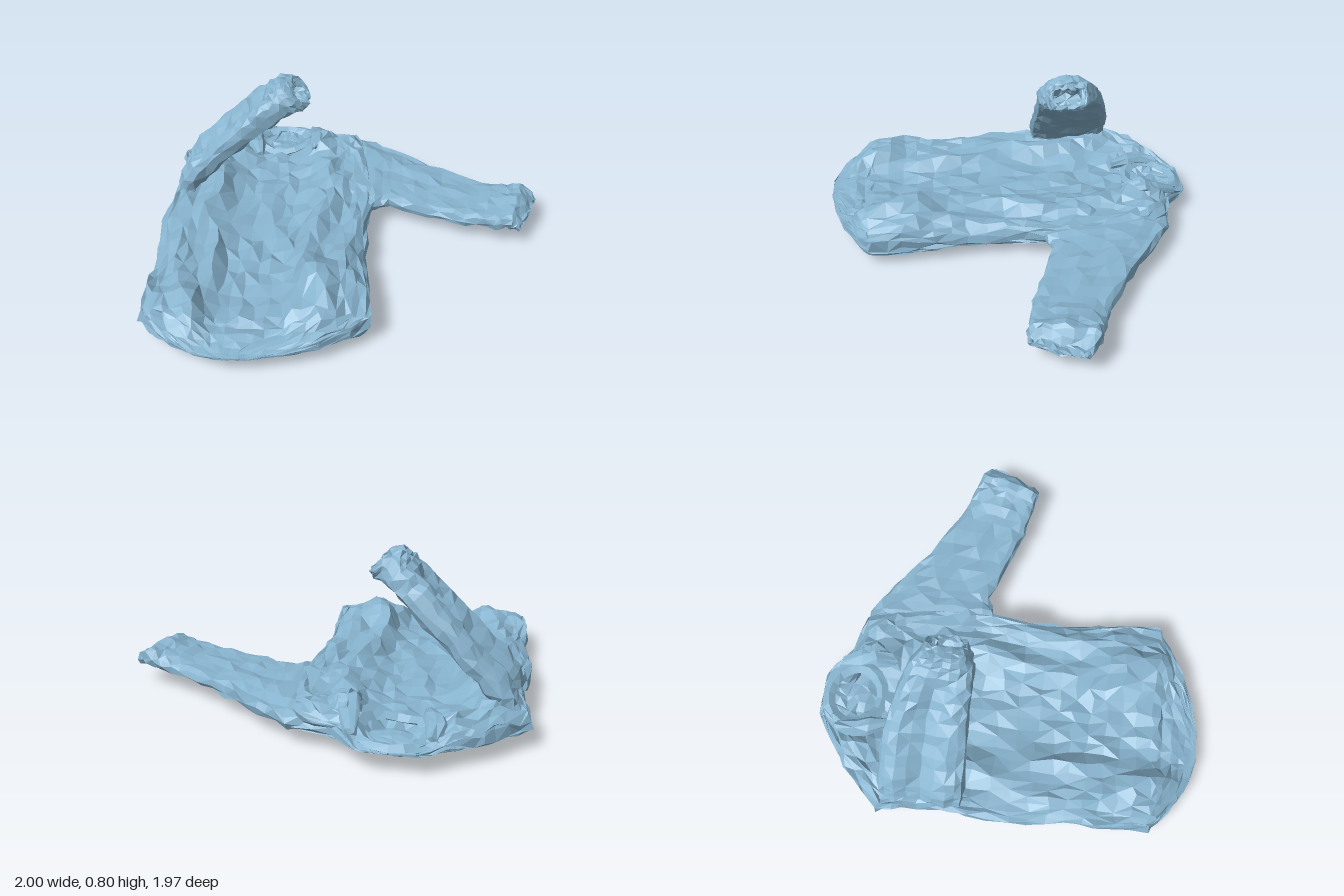
import * as THREE from 'three';

const cloth = new THREE.MeshStandardMaterial({ color: 0x88b4cf, flatShading: true, side: THREE.DoubleSide });

// seeded random numbers for the creases
function seeded(seed) {
  let s = seed;
  return () => {
    s = (s * 16807) % 2147483647;
    return s / 2147483647 - 0.5;
  };
}
const bell = (v, centre, width) => Math.exp(-(((v - centre) / width) ** 2));
const step = THREE.MathUtils.smoothstep;

// insert evenly spaced rows between the given ones
function refine(rows, steps) {
  const out = [];
  for (let r = 0; r < rows.length - 1; r++)
    for (let k = 0; k < steps; k++)
      out.push(rows[r].map((v, i) => v + (rows[r + 1][i] - v) * (k / steps)));
  out.push(rows[rows.length - 1]);
  return out;
}

// skin closed rings of points, closing both ends on their centres
function loft(name, rings) {
  const n = rings[0].length;
  const centre = (ring) => {
    const c = new THREE.Vector3();
    ring.forEach((p) => c.addScaledVector(p, 1 / n));
    return ring.map(() => c);
  };
  const all = [centre(rings[0]), ...rings, centre(rings[rings.length - 1])];
  const index = [];
  for (let r = 0; r < all.length - 1; r++)
    for (let i = 0; i < n; i++) {
      const a = r * n + i, b = r * n + ((i + 1) % n);
      if ((i + r) % 2) index.push(a, a + n, b, b, a + n, b + n);
      else index.push(a, a + n, b + n, a, b + n, b);
    }
  const geometry = new THREE.BufferGeometry().setFromPoints(all.flat());
  geometry.setIndex(index);
  geometry.computeVertexNormals();
  const mesh = new THREE.Mesh(geometry, cloth);
  mesh.name = name;
  return mesh;
}

// height of the upper cloth: two puffed sides, flat centre strip, neck opening
function clothHeight(x, z) {
  if (Math.hypot((x + 0.42) / 0.14, (z + 0.81) / 0.13) < 1) return 0.085;
  const right = 1 - step(x, -0.7, -0.58);
  const left = step(x, -0.3, -0.2);
  let h = 0.12 + 0.06 * right + 0.06 * left;
  h += 0.085 * bell(x, -0.09, 0.15) * bell(z, 0.56, 0.19);
  h += 0.045 * bell(x, -0.82, 0.12) * bell(z, 0.7, 0.12);
  h += 0.05 * bell(x, -0.16, 0.1) * bell(z, -0.72, 0.1);
  h += 0.05 * bell(x, -0.88, 0.12) * bell(z, -0.45, 0.22);
  // lengthwise folds on the puffed sides
  return h + 0.02 * (right + left) * Math.sin(x * 30 + Math.sin(z * 6) * 2);
}

function torso() {
  // z, right x, left x, lowest y, fullness
  const rows = [
    [-0.985, -0.52, -0.33, 0.09, 0.1],
    [-0.95, -0.59, -0.26, 0.08, 0.5],
    [-0.86, -0.72, -0.17, 0.07, 0.8],
    [-0.8, -0.81, 0.02, 0.06, 1],
    [-0.7, -0.9, 0.07, 0.05, 1],
    [-0.6, -0.99, 0.1, 0.05, 1],
    [-0.47, -0.96, 0.11, 0.045, 1],
    [-0.33, -0.96, 0.11, 0.04, 1],
    [-0.15, -0.96, 0.11, 0.035, 1],
    [0.05, -0.985, 0.09, 0.025, 1],
    [0.25, -0.96, 0.085, 0.015, 1],
    [0.42, -0.955, 0.1, 0.006, 1],
    [0.58, -0.955, 0.12, 0.0, 1],
    [0.75, -0.945, 0.115, 0.012, 1],
    [0.81, -0.89, 0.04, 0.03, 0.85],
    [0.89, -0.79, -0.1, 0.05, 0.45],
    [0.95, -0.68, -0.27, 0.065, 0.1],
    [0.98, -0.56, -0.42, 0.08, 0.03],
  ];
  const rand = seeded(71);
  const n = 56;
  const edge = 0.095;
  const rings = refine(rows, 2).map(([z, x0, x1, low, full]) => {
    const ring = [];
    for (let i = 0; i < n; i++) {
      const t = (i / n) * Math.PI * 2;
      const u = -Math.cos(t), s = Math.sin(t);
      const x = (x0 + x1) / 2 + (u * (x1 - x0)) / 2 + rand() * 0.028;
      const pz = z + rand() * 0.03 * full;
      const bulge = Math.abs(s) ** (s >= 0 ? 0.4 : 0.55);
      const y = s >= 0
        ? edge + (clothHeight(x, pz) - edge) * bulge * full + rand() * 0.03 * full
        : edge + (low - edge) * bulge + Math.abs(rand()) * 0.03;
      ring.push(new THREE.Vector3(x, y, pz));
    }
    return ring;
  });
  return loft('shirtBody', rings);
}

// each section: front edge, back edge, half thickness, depth of the fold along the top
function sleeve(name, sections, up, seed) {
  const rand = seeded(seed);
  const n = 20;
  const rings = refine(sections, 3).map(([ax, ay, az, bx, by, bz, thick, fold]) => {
    const a = new THREE.Vector3(ax, ay, az), b = new THREE.Vector3(bx, by, bz);
    const ring = [];
    for (let i = 0; i < n; i++) {
      const t = (i / n) * Math.PI * 2;
      const s = Math.sin(t);
      const across = (1 - Math.cos(t)) / 2;
      const p = a.clone().lerp(b, across);
      const rise = Math.sign(s) * Math.abs(s) ** 0.6 * thick;
      p.addScaledVector(up, rise - (s > 0 ? fold * bell(across, 0.5, 0.18) : 0) + rand() * 0.022);
      p.x += rand() * 0.018;
      p.z += rand() * 0.012;
      ring.push(p);
    }
    return ring;
  });
  return loft(name, rings);
}

// flattened collar band round the neck, with its folded points
function collar() {
  const rand = seeded(19);
  const group = new THREE.Group();
  group.name = 'collar';

  const n = 16;
  const geometry = new THREE.TorusGeometry(0.155, 0.034, 4, n);
  geometry.rotateX(Math.PI / 2);
  const pos = geometry.attributes.position;
  const lift = Array.from({ length: n }, () => rand() * 0.02);
  for (let i = 0; i < pos.count; i++) {
    const x = pos.getX(i), y = pos.getY(i), z = pos.getZ(i);
    const leftRise = 0.04 * step(x, 0.04, 0.18);
    pos.setXYZ(i, x - 0.42, 0.112 + z * 0.08 + y * 0.6 + leftRise + lift[(i % (n + 1)) % n], z * 0.92 - 0.81);
  }
  geometry.computeVertexNormals();
  const band = new THREE.Mesh(geometry, cloth);
  band.name = 'collarBand';
  group.add(band);

  // sections: x, y, z, half width
  const points = {
    rightCollarPoint: [[-0.59, 0.115, -0.88, 0.03], [-0.6, 0.14, -0.78, 0.05], [-0.58, 0.15, -0.7, 0.05], [-0.55, 0.135, -0.61, 0.02]],
    leftCollarPoint: [[-0.25, 0.13, -0.91, 0.03], [-0.22, 0.18, -0.8, 0.05], [-0.2, 0.215, -0.72, 0.06], [-0.23, 0.17, -0.61, 0.02]],
  };
  for (const [name, rows] of Object.entries(points)) {
    const rings = rows.map(([x, y, z, w]) =>
      Array.from({ length: 8 }, (_, i) => {
        const t = (i / 8) * Math.PI * 2;
        return new THREE.Vector3(x - Math.cos(t) * w, y + Math.sin(t) * 0.028 + rand() * 0.012, z + rand() * 0.02);
      })
    );
    group.add(loft(name, rings));
  }
  return group;
}

export function createModel() {
  const model = new THREE.Group();
  model.name = 'shirt';
  model.add(torso(), collar());

  // sleeve lying flat, ending in a hollow cuff
  model.add(sleeve('leftSleeve', [
    [-0.12, 0.11, -0.25, -0.14, 0.11, -0.82, 0.05, 0],
    [0.08, 0.11, -0.13, 0.06, 0.11, -0.81, 0.055, 0],
    [0.2, 0.11, -0.18, 0.22, 0.11, -0.7, 0.05, 0],
    [0.4, 0.11, -0.1, 0.42, 0.11, -0.55, 0.05, 0.01],
    [0.6, 0.115, -0.03, 0.67, 0.12, -0.4, 0.048, 0.01],
    [0.75, 0.125, 0.0, 0.82, 0.13, -0.34, 0.05, 0],
    [0.83, 0.14, 0.02, 0.92, 0.15, -0.31, 0.06, 0],
    [0.88, 0.12, 0.02, 0.995, 0.12, -0.25, 0.035, 0],
    [0.87, 0.12, 0.0, 0.98, 0.12, -0.22, 0.022, 0],
    [0.78, 0.125, -0.03, 0.86, 0.125, -0.24, 0.02, 0],
  ], new THREE.Vector3(0, 1, 0), 37));

  // sleeve raised across the body
  model.add(sleeve('rightSleeve', [
    [-0.92, 0.13, -0.18, -0.92, 0.13, -0.6, 0.06, 0.02],
    [-0.86, 0.24, -0.17, -0.86, 0.22, -0.61, 0.075, 0.05],
    [-0.73, 0.38, -0.17, -0.73, 0.35, -0.6, 0.075, 0.06],
    [-0.58, 0.51, -0.17, -0.59, 0.49, -0.57, 0.075, 0.05],
    [-0.46, 0.62, -0.16, -0.46, 0.61, -0.52, 0.078, 0.03],
    [-0.37, 0.69, -0.16, -0.37, 0.69, -0.47, 0.085, 0.01],
    [-0.31, 0.72, -0.18, -0.31, 0.73, -0.42, 0.095, 0],
    [-0.27, 0.73, -0.2, -0.27, 0.74, -0.4, 0.07, 0],
    [-0.28, 0.72, -0.22, -0.28, 0.73, -0.38, 0.045, 0],
    [-0.35, 0.66, -0.23, -0.35, 0.67, -0.38, 0.035, 0],
  ], new THREE.Vector3(-0.65, 0.75, 0), 53));

  return model;
}
